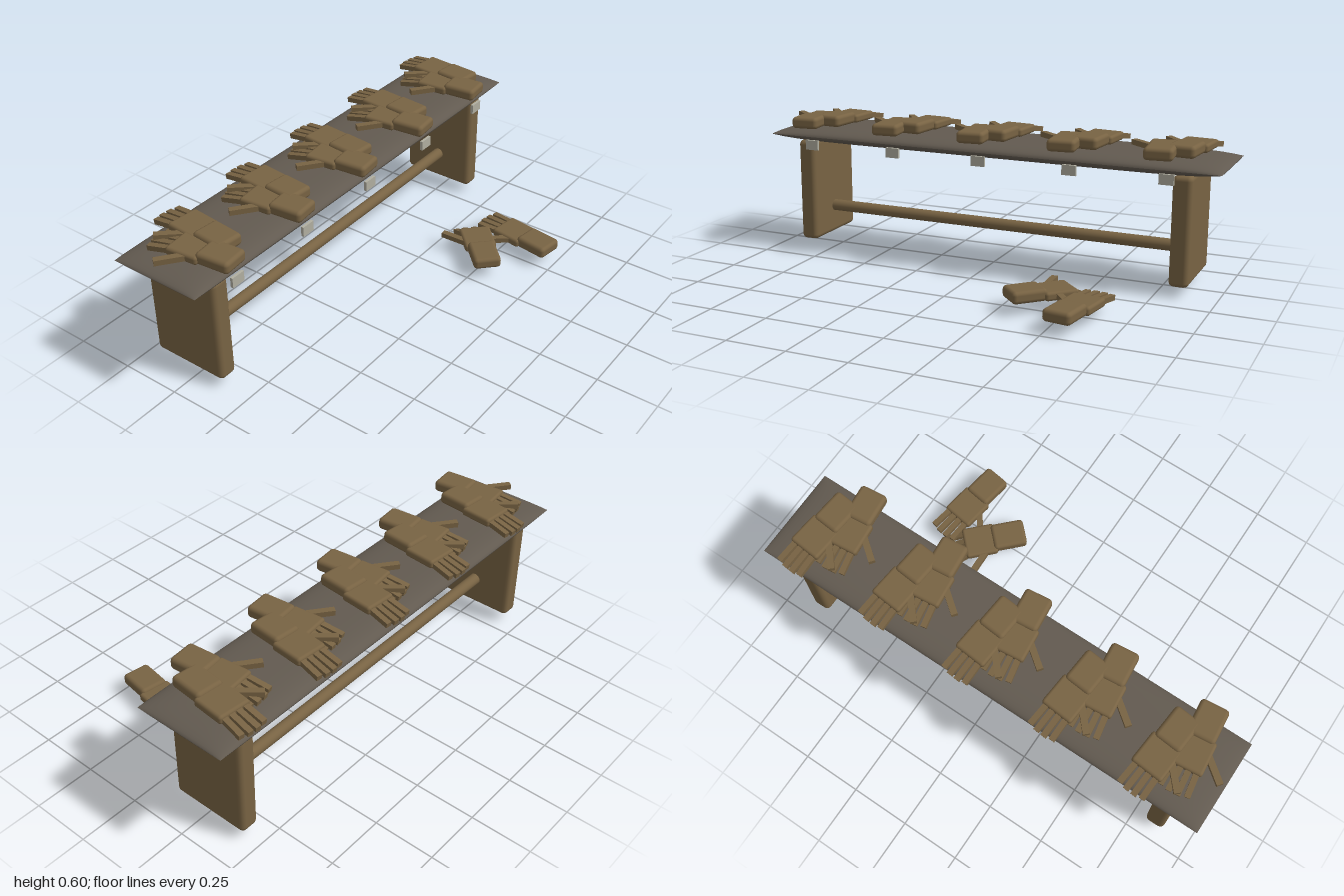
import * as THREE from 'three';
import { RoundedBoxGeometry } from 'three/addons/geometries/RoundedBoxGeometry.js';

const brown = new THREE.MeshStandardMaterial({ color: 0x786343 });
brown.name = 'brown leather and wood';
const grey = new THREE.MeshStandardMaterial({ color: 0x625a50 });
grey.name = 'grey table top';
const pale = new THREE.MeshStandardMaterial({ color: 0xb0aea0 });
pale.name = 'pale tag';

function add(parent, name, geometry, material, x = 0, y = 0, z = 0) {
  const mesh = new THREE.Mesh(geometry, material);
  mesh.name = name;
  mesh.position.set(x, y, z);
  parent.add(mesh);
  return mesh;
}

// One curved skin of the cushion-like top; sign +1 is the upper side, -1 the lower
function cushionSkin(sign) {
  const g = new THREE.PlaneGeometry(2, 2, 48, 24);
  g.rotateX(-sign * Math.PI / 2);
  const p = g.attributes.position;
  for (let i = 0; i < p.count; i++) {
    const u = Math.sin(p.getX(i) * Math.PI / 2);
    const v = Math.sin(p.getZ(i) * Math.PI / 2);
    const h = Math.sqrt(Math.max(0, 1 - u ** 8)) * Math.sqrt(Math.max(0, 1 - v ** 4));
    p.setXYZ(i, u, sign * 0.033 * h, v * 0.198);
  }
  g.computeVertexNormals();
  return g;
}

// Glove pointing to -z, with the open end of the cuff at its origin
const cuffShape = new RoundedBoxGeometry(0.117, 0.05, 0.145, 2, 0.016);
const palmShape = new RoundedBoxGeometry(0.137, 0.036, 0.14, 2, 0.012);
const fingerShape = new THREE.BoxGeometry(0.023, 0.021, 0.13).translate(0, 0, -0.065);
const thumbShape = new THREE.BoxGeometry(0.026, 0.022, 0.15).translate(0, 0, -0.075);

function makeGlove(name, x, y, z, heading, droop, fan) {
  const glove = new THREE.Group();
  glove.name = name;
  add(glove, 'cuff', cuffShape, brown, 0, 0, -0.0725);
  add(glove, 'palm', palmShape, brown, 0, -0.006, -0.2);
  // Four fingers, spreading outward and drooping
  for (let i = 0; i < 4; i++) {
    const s = i - 1.5;
    const finger = add(glove, 'finger', fingerShape, brown, s * 0.03, -0.005, -0.24);
    finger.rotation.order = 'YXZ';
    finger.rotation.set(-droop, -s * fan, 0);
    finger.scale.z = 1 - 0.06 * Math.abs(s);
  }
  const thumb = add(glove, 'thumb', thumbShape, brown, -0.03, -0.006, -0.16);
  thumb.rotation.y = 0.82;
  glove.position.set(x, y, z);
  glove.rotation.y = -heading;
  return glove;
}

export function createModel() {
  const model = new THREE.Group();
  model.name = 'glove table';

  // Top
  const top = new THREE.Group();
  top.name = 'tableTop';
  add(top, 'upperSkin', cushionSkin(1), grey);
  add(top, 'lowerSkin', cushionSkin(-1), grey);
  top.position.set(0, 0.519, -0.28);
  model.add(top);

  // End panels and the rail between them
  for (const side of [-1, 1]) {
    const leg = new RoundedBoxGeometry(0.08, 0.45, 0.337, 2, 0.02);
    add(model, 'endPanel', leg, brown, side * 0.843, 0.27, -0.278);
  }
  const rail = add(model, 'rail', new THREE.CylinderGeometry(0.025, 0.025, 1.66, 20), brown, 0, 0.17, -0.275);
  rail.rotation.z = Math.PI / 2;

  // Five displays: a tag on the front edge and a pair of gloves on top
  const tagShape = new THREE.BoxGeometry(0.06, 0.042, 0.012);
  for (let i = 0; i < 5; i++) {
    add(model, 'tag', tagShape, pale, (i - 2) * 0.395, 0.486, -0.077);
    const dx = i * 0.393;
    model.add(makeGlove('rearGlove', -0.75 + dx, 0.585, -0.134, 0.09, 0.17, 0.03));
    model.add(makeGlove('frontGlove', -0.813 + dx, 0.584, -0.048, -0.1, 0.17, 0.05));
  }

  // Pair lying on the ground
  model.add(makeGlove('fallenGlove', 0.3, 0.0755, 0.32, 0.78, 0.46, 0.11));
  model.add(makeGlove('fallenGlove', 0.551, 0.0745, 0.48, 0.15, 0.08, 0.04));

  return model;
}
